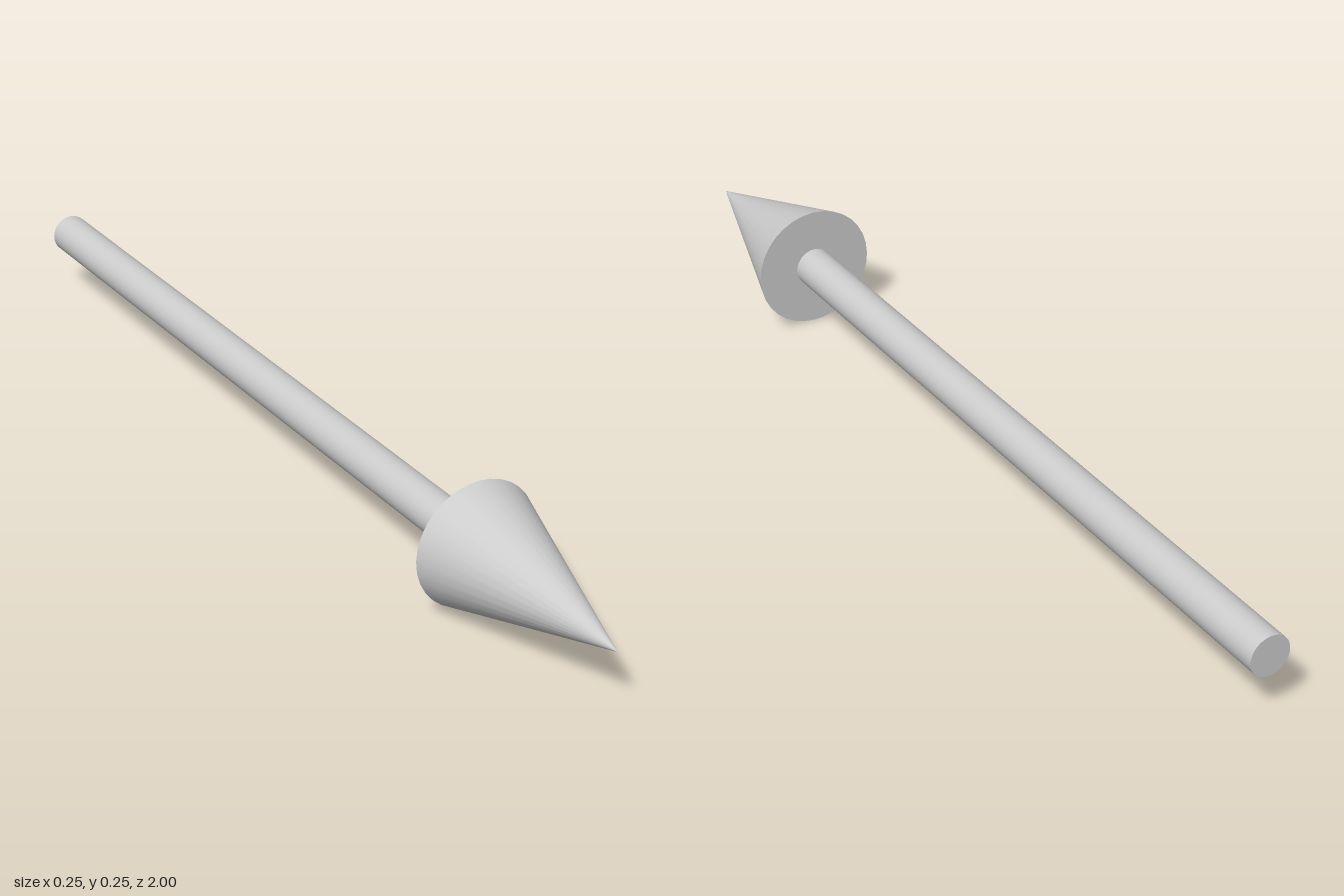
import * as THREE from 'three';

const SIDES = 32;
const HEAD_RADIUS = 0.124;
const SHAFT_RADIUS = 0.04;
const BACK = -1, NECK = 0.588, TIP = 1;

export function createModel() {
  const group = new THREE.Group();
  group.name = 'arrow';
  const material = new THREE.MeshStandardMaterial({ color: 0xcccccc });

  // Lays a round part along z, from its back end to its front end
  function addRound(name, backRadius, frontRadius, z0, z1) {
    const geometry = new THREE.CylinderGeometry(frontRadius, backRadius, z1 - z0, SIDES);
    geometry.rotateX(Math.PI / 2);
    const mesh = new THREE.Mesh(geometry, material);
    mesh.name = name;
    mesh.position.set(0, HEAD_RADIUS, (z0 + z1) / 2);
    group.add(mesh);
  }

  // Long straight shaft, closed at the back
  addRound('shaft', SHAFT_RADIUS, SHAFT_RADIUS, BACK, NECK);
  // Pointed head with a flat back
  addRound('arrowHead', HEAD_RADIUS, 0, NECK, TIP);

  return group;
}
